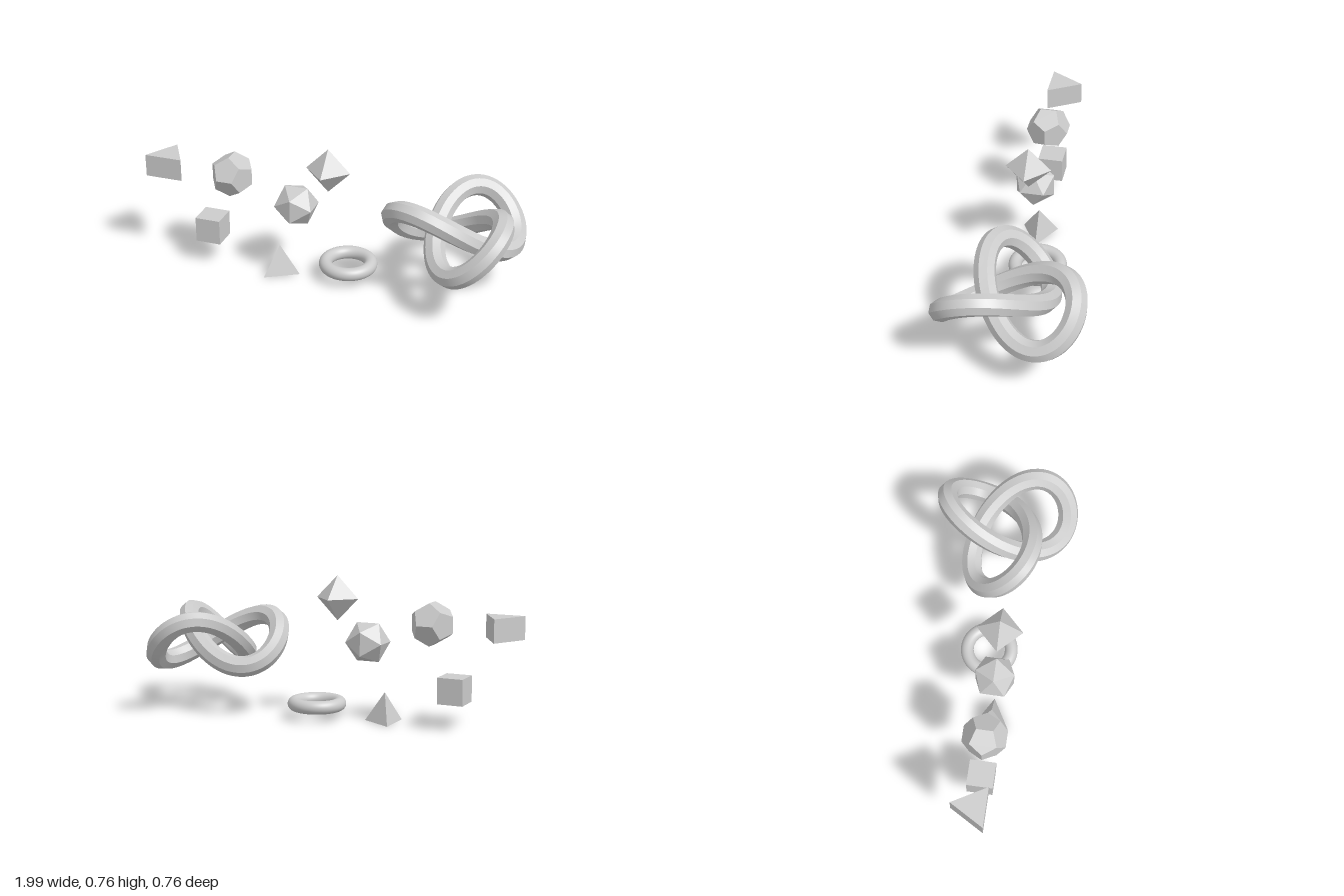
import * as THREE from 'three';
import { toCreasedNormals } from 'three/addons/utils/BufferGeometryUtils.js';

// Closed trefoil curve lying flat, one lobe towards -x
class TrefoilCurve extends THREE.Curve {
  constructor(scale) {
    super();
    this.scale = scale;
  }
  getPoint(u, target = new THREE.Vector3()) {
    const t = u * Math.PI * 2;
    return target.set(
      -2 * Math.cos(2 * t) - Math.cos(t),
      -Math.sin(3 * t),
      -2 * Math.sin(2 * t) + Math.sin(t)
    ).multiplyScalar(this.scale);
  }
}

export function createModel() {
  const group = new THREE.Group();
  const flat = new THREE.MeshStandardMaterial({ color: 0xcccccc, flatShading: true });
  const smooth = new THREE.MeshStandardMaterial({ color: 0xcccccc });
  const R = 0.119; // shared circumradius of the solids
  const Z = 0.066; // depth of the row of solids

  function add(name, geometry, material, x, y, z) {
    const mesh = new THREE.Mesh(geometry, material);
    mesh.name = name;
    mesh.position.set(x, y, z);
    group.add(mesh);
  }

  // Flat-faced solids
  add('triangularPrism', new THREE.CylinderGeometry(0.118, 0.118, 0.12, 3).rotateY(Math.PI), flat, -0.898, 0.538, Z);
  add('cube', new THREE.BoxGeometry(0.137, 0.137, 0.137), flat, -0.654, 0.206, Z);
  add('dodecahedron', new THREE.DodecahedronGeometry(R).rotateY(Math.PI / 2), flat, -0.529, 0.536, Z);
  add('icosahedron', new THREE.IcosahedronGeometry(R), flat, -0.171, 0.417, Z);
  add('octahedron', new THREE.OctahedronGeometry(R), flat, 0.004, 0.639, Z);

  // Regular tetrahedron standing on the ground, one base corner towards +x
  add('tetrahedron', new THREE.ConeGeometry(0.112, 0.159, 3).rotateY(Math.PI / 2), flat, -0.269, 0.0795, Z);

  // Smooth ring lying flat
  add('ring', new THREE.TorusGeometry(0.12, 0.035, 32, 96).rotateX(Math.PI / 2), smooth, 0.093, 0.08, 0);

  // Trefoil knot with an eight-sided tube: crisp along the edges, smooth along the length
  const knot = new THREE.TubeGeometry(new TrefoilCurve(0.12), 180, 0.0555, 8, true);
  add('trefoilKnot', toCreasedNormals(knot, 0.5), smooth, 0.693, 0.3915, 0);

  return group;
}
